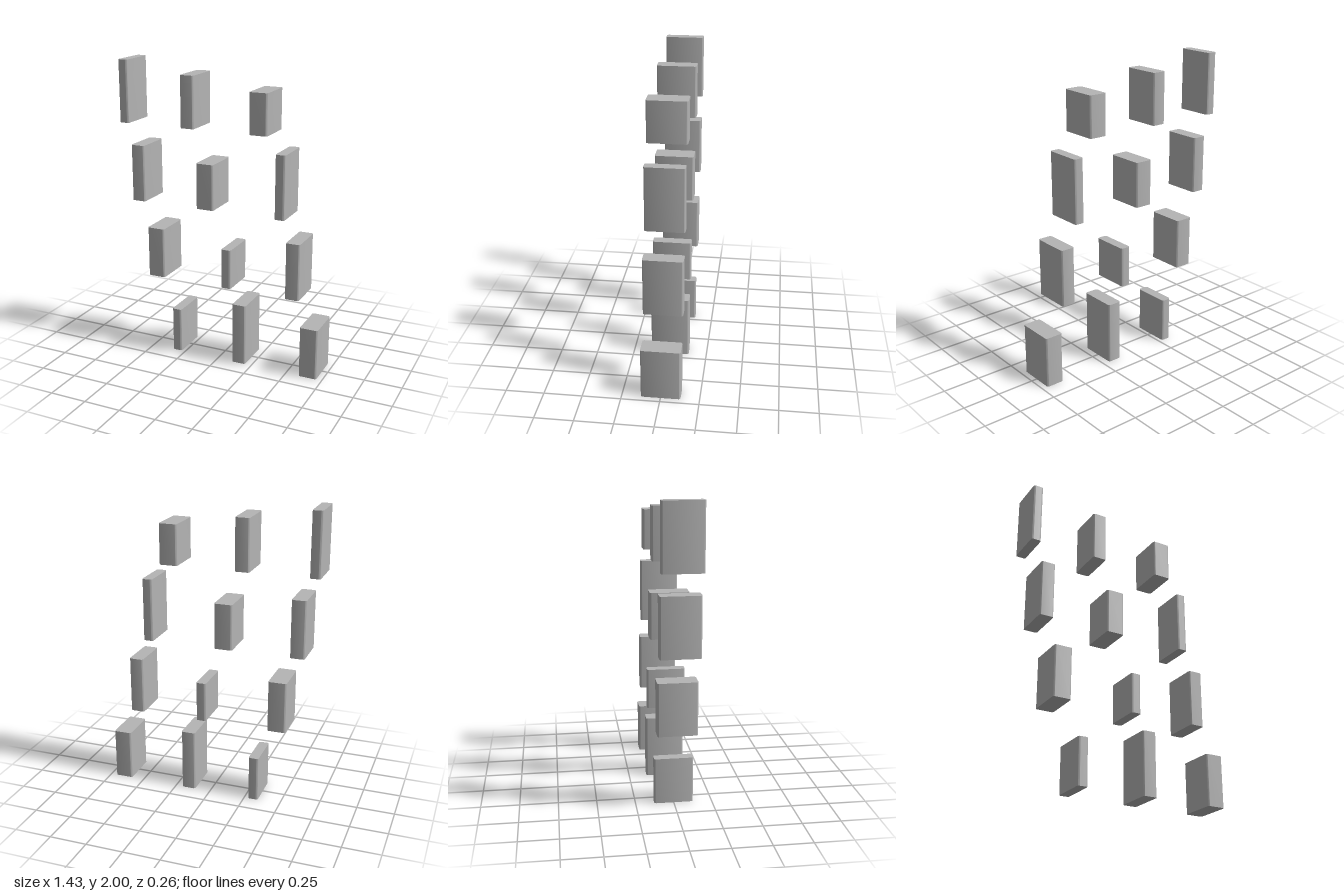
import * as THREE from 'three';
import { toCreasedNormals } from 'three/addons/utils/BufferGeometryUtils.js';

const DEPTH = 0.256;
const RADIUS = 0.014;

// Upright block with rounded vertical edges and sharp top and bottom rims
function blockGeometry(width, height) {
  const w = width / 2, d = DEPTH / 2, r = RADIUS;
  const shape = new THREE.Shape();
  shape.absarc(w - r, d - r, r, 0, Math.PI / 2);
  shape.absarc(-w + r, d - r, r, Math.PI / 2, Math.PI);
  shape.absarc(-w + r, -d + r, r, Math.PI, Math.PI * 1.5);
  shape.absarc(w - r, -d + r, r, Math.PI * 1.5, Math.PI * 2);
  const geometry = new THREE.ExtrudeGeometry(shape, { depth: height, bevelEnabled: false, curveSegments: 5 });
  geometry.rotateX(-Math.PI / 2);
  return toCreasedNormals(geometry, Math.PI / 5);
}

export function createModel() {
  const model = new THREE.Group();
  model.name = 'floatingBooks';
  const grey = new THREE.MeshStandardMaterial({ color: 0xb4b4b4 });
  grey.name = 'light grey';

  // Widths repeat every three books, shelf levels every four
  const widths = [0.068, 0.096, 0.123];
  const levels = [1.584, 1.056, 0.529, 0];
  // Centre x and height of each book, from left to right
  const books = [
    [-0.680, 0.416], [-0.586, 0.383], [-0.462, 0.346],
    [-0.311, 0.308], [-0.215, 0.342], [-0.092, 0.306],
    [0.061, 0.270], [0.156, 0.423], [0.279, 0.268],
    [0.431, 0.421], [0.527, 0.382], [0.650, 0.346],
  ];

  books.forEach(([x, height], i) => {
    const book = new THREE.Mesh(blockGeometry(widths[i % 3], height), grey);
    book.name = `book${i + 1}`;
    book.position.set(x, levels[i % 4], 0);
    model.add(book);
  });
  return model;
}
